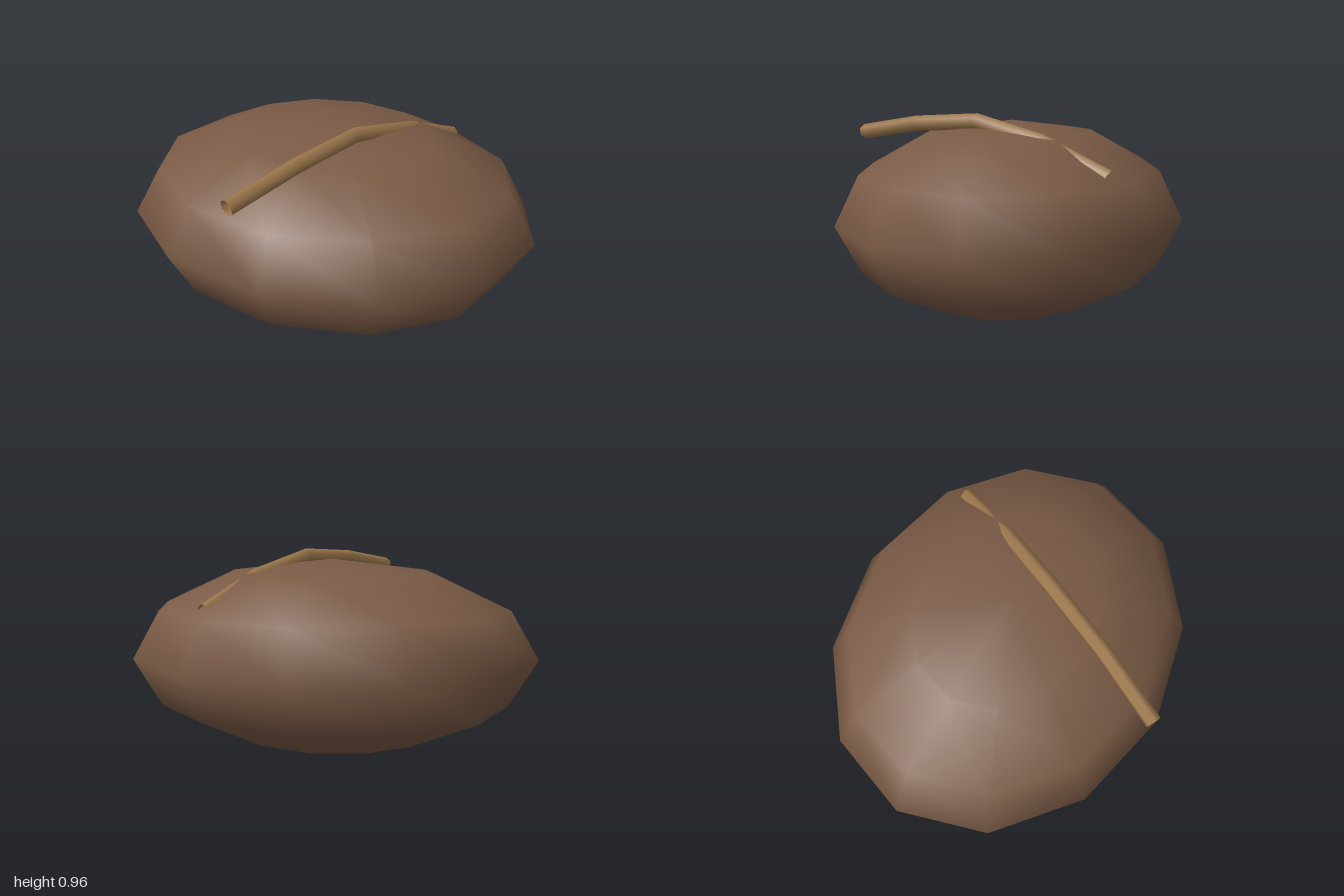
import * as THREE from 'three';

export function createModel() {
  const model = new THREE.Group();
  const earth = new THREE.MeshStandardMaterial({ color: 0x7a5a45 });
  earth.name = 'earth brown';
  const wood = new THREE.MeshStandardMaterial({ color: 0x9c774c, side: THREE.DoubleSide });
  wood.name = 'twig tan';

  // Flattened low-poly mound with smooth normals
  const mound = new THREE.Mesh(new THREE.SphereGeometry(1, 12, 6), earth);
  mound.name = 'mound';
  mound.scale.set(1, 0.46, 0.83);
  mound.position.y = 0.462;
  model.add(mound);

  // Bent twig lying across the top, dipping into the mound towards the back
  const path = new THREE.CatmullRomCurve3([
    [-0.125, 0.838, 0.81],
    [0.03, 0.9, 0.46],
    [0.18, 0.922, 0.09],
    [0.325, 0.843, -0.22],
    [0.455, 0.715, -0.52],
  ].map((p) => new THREE.Vector3(...p)));
  const twig = new THREE.Mesh(new THREE.TubeGeometry(path, 4, 0.038, 6), wood);
  twig.name = 'twig';
  model.add(twig);

  return model;
}
